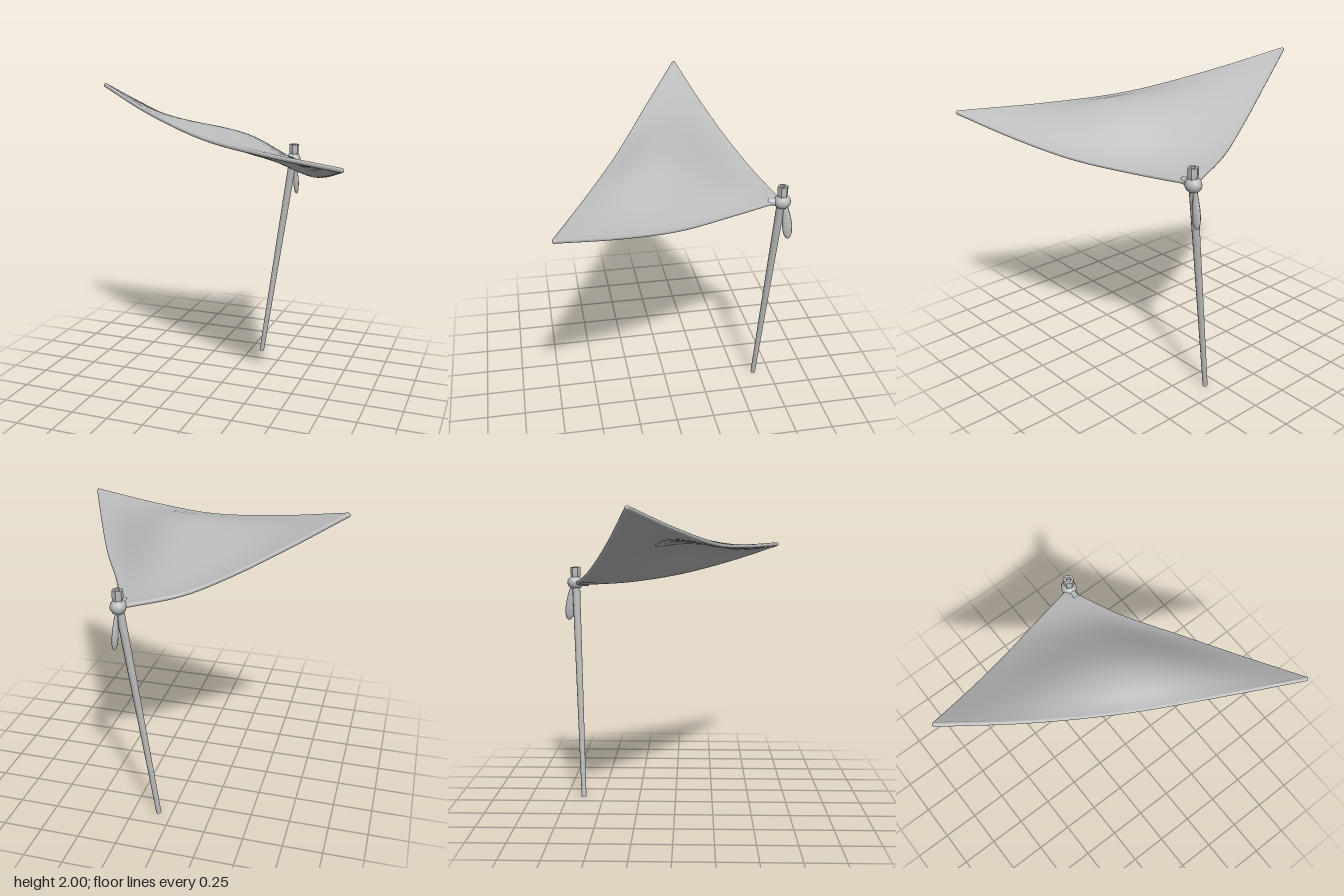
import * as THREE from 'three';

const V = (x, y, z) => new THREE.Vector3(x, y, z);

export function createModel() {
  const model = new THREE.Group();
  const gray = new THREE.MeshStandardMaterial({ color: 0xbcbcbc, side: THREE.DoubleSide });
  gray.name = 'plain gray';

  const add = (geometry, name, parent = model) => {
    const mesh = new THREE.Mesh(geometry, gray);
    mesh.name = name;
    parent.add(mesh);
    return mesh;
  };

  // Cloth outline: two sides run from the knotted corner, the third joins their ends
  const knotCorner = V(0.262, 1.478, -0.675);
  const highTip = V(-0.945, 1.995, -0.238), lowTip = V(0.947, 1.71, 0.742);
  const highSide = new THREE.CatmullRomCurve3([
    knotCorner, V(-0.07, 1.55, -0.573), V(-0.35, 1.667, -0.464), V(-0.65, 1.825, -0.347), highTip]);
  const lowSide = new THREE.CatmullRomCurve3([
    knotCorner, V(0.41, 1.485, -0.335), V(0.603, 1.525, 0.02), V(0.777, 1.605, 0.378), lowTip]);
  const frontSide = new THREE.CatmullRomCurve3([
    highTip, V(-0.5, 1.86, 0.02), V(-0.02, 1.755, 0.27), V(0.42, 1.722, 0.485), lowTip]);

  // Point on the billowing cloth: u runs high side to low side, v knot to front
  const clothPoint = (u, v) => {
    const p = highSide.getPoint(v).lerp(lowSide.getPoint(v), u);
    const sag = frontSide.getPoint(u).sub(highTip.clone().lerp(lowTip, u));
    p.addScaledVector(sag, v * v);
    const s = u ** 1.2;
    p.y += 0.12 * (4 * s * (1 - s)) ** 2 * (7.65 * v ** 2.33 * (1 - v)) ** 1.5;
    return p;
  };

  const thickness = 0.028;
  const sheet = (top) => {
    const g = new THREE.PlaneGeometry(1, 1, 24, 24);
    const pos = g.attributes.position;
    for (let i = 0; i < pos.count; i++) {
      const s = pos.getX(i) + 0.5;
      const p = clothPoint(top ? 1 - s : s, THREE.MathUtils.clamp(pos.getY(i) + 0.5, 0, 1));
      pos.setXYZ(i, p.x, p.y - (top ? 0 : thickness), p.z);
    }
    g.computeVertexNormals();
    return g;
  };

  const cloth = new THREE.Group();
  cloth.name = 'cloth';
  model.add(cloth);
  add(sheet(true), 'clothTop', cloth);
  add(sheet(false), 'clothUnderside', cloth);

  // Rolled hem closes the gap between the two faces
  const hem = new THREE.Group();
  hem.name = 'hem';
  hem.position.y = -thickness / 2;
  cloth.add(hem);
  [[highSide, 'backHem'], [lowSide, 'sideHem'], [frontSide, 'frontHem']].forEach(([curve, name]) =>
    add(new THREE.TubeGeometry(curve, 24, thickness / 2, 8), name, hem));
  [highTip, lowTip].forEach((p) =>
    add(new THREE.SphereGeometry(thickness / 2, 8, 6), 'hemCorner', hem).position.copy(p));

  // Leaning pole, slightly wider at the top
  const foot = V(0.085, 0.002, -0.635), head = V(0.285, 1.5, -0.688);
  const pole = add(new THREE.CylinderGeometry(0.027, 0.0165, foot.distanceTo(head), 10), 'pole');
  pole.position.copy(foot).lerp(head, 0.5);
  pole.quaternion.setFromUnitVectors(V(0, 1, 0), head.clone().sub(foot).normalize());

  // Pole cap with a shallow recess
  const capProfile = [[0.024, -0.09], [0.034, 0.0], [0.034, 0.045], [0.018, 0.045], [0.016, 0.02], [0, 0.02]];
  const cap = add(new THREE.LatheGeometry(capProfile.map(([x, y]) => new THREE.Vector2(x, y)), 6).toNonIndexed(), 'poleCap');
  cap.geometry.computeVertexNormals();
  cap.position.set(0.285, 1.527, -0.69);

  // Knot wrapped around the pole
  const knot = add(new THREE.SphereGeometry(1, 12, 8), 'knot');
  knot.scale.set(0.05, 0.048, 0.055);
  knot.position.set(0.283, 1.467, -0.692);
  const neck = new THREE.CatmullRomCurve3([V(0.275, 1.468, -0.6), V(0.28, 1.467, -0.64), V(0.283, 1.467, -0.69)]);
  add(new THREE.TubeGeometry(neck, 6, 0.024, 8), 'knotNeck');

  // Loose end hanging below the knot, widest near its lower end
  const tail = add(new THREE.SphereGeometry(1, 8, 8), 'knotTail');
  const tp = tail.geometry.attributes.position;
  for (let i = 0; i < tp.count; i++) {
    const y = tp.getY(i), taper = 0.85 - 0.4 * y;
    tp.setXYZ(i, tp.getX(i) * 0.021 * taper, y * 0.13, tp.getZ(i) * 0.035 * taper);
  }
  tail.geometry.computeVertexNormals();
  tail.position.set(0.292, 1.335, -0.728);
  tail.rotation.set(0.12, 0, 0.04);

  return model;
}
